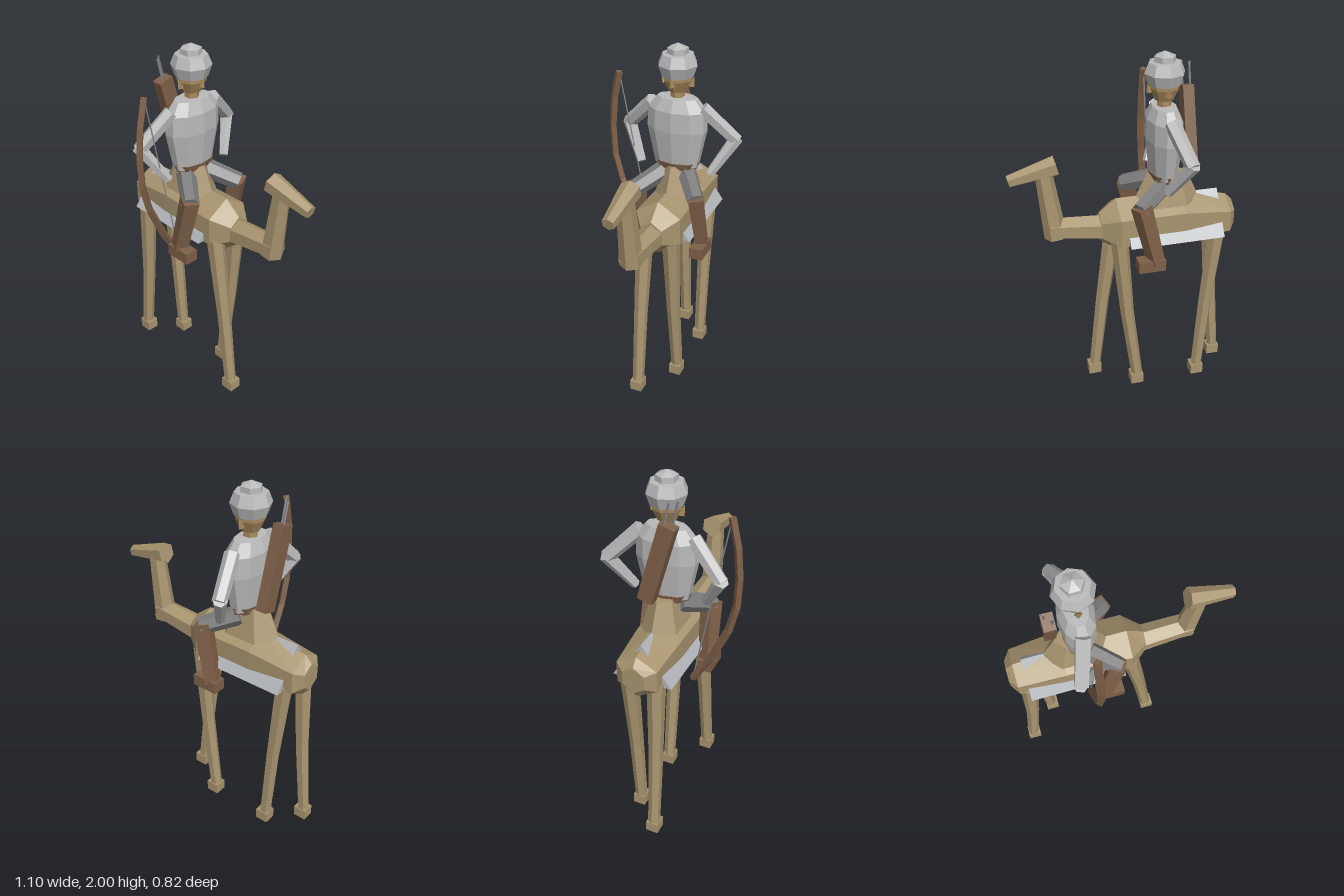
import * as THREE from 'three';

const mat = (name, color) => {
  const m = new THREE.MeshStandardMaterial({ color, flatShading: true });
  m.name = name;
  return m;
};

export function createModel() {
  const tan = mat('camel tan', 0xa8946f);
  const skin = mat('skin', 0xa88a5c);
  const brown = mat('leather brown', 0x7e6048);
  const cloth = mat('light cloth', 0xb9b9b9);
  const trousers = mat('dark trousers', 0x7c7c7c);
  const blanketGrey = mat('blanket grey', 0xb2b6ba);
  const steel = mat('steel', 0x85888b);

  const root = new THREE.Group();
  root.name = 'camelRider';
  const model = new THREE.Group();
  model.name = 'mountAndRider';
  root.add(model);
  // Travel direction is diagonal
  model.position.set(-0.14, 0, -0.085);
  model.rotation.y = THREE.MathUtils.degToRad(55);

  const add = (name, geo, material, x = 0, y = 0, z = 0) => {
    const m = new THREE.Mesh(geo, material);
    m.name = name;
    m.position.set(x, y, z);
    model.add(m);
    return m;
  };
  // Tapered bar between two points
  const bar = (name, a, b, ra, rb, material, sides = 6) => {
    const p = new THREE.Vector3(...a), q = new THREE.Vector3(...b);
    const d = q.clone().sub(p);
    const m = add(name, new THREE.CylinderGeometry(rb, ra, d.length(), sides), material);
    m.position.copy(p).add(q).multiplyScalar(0.5);
    m.quaternion.setFromUnitVectors(new THREE.Vector3(0, 1, 0), d.normalize());
    return m;
  };
  // Closed loft along z through six-sided rings [z, halfWidth, top, bottom]
  const loft = (rings, sides = 6) => {
    const pos = [], idx = [];
    for (const [z, w, top, bottom] of rings)
      for (let i = 0; i < sides; i++) {
        const t = (i / sides) * Math.PI * 2;
        pos.push((Math.sin(t) * w) / 0.866, (top + bottom) / 2 + (Math.cos(t) * (top - bottom)) / 2, z);
      }
    for (let r = 0; r < rings.length - 1; r++)
      for (let i = 0; i < sides; i++) {
        const j = (i + 1) % sides, a = r * sides + i, b = r * sides + j;
        idx.push(a, a + sides, b, b, a + sides, b + sides);
      }
    const last = (rings.length - 1) * sides;
    for (let i = 1; i < sides - 1; i++) {
      idx.push(0, i, i + 1);
      idx.push(last, last + i + 1, last + i);
    }
    const g = new THREE.BufferGeometry();
    g.setAttribute('position', new THREE.Float32BufferAttribute(pos, 3));
    g.setIndex(idx);
    const flat = g.toNonIndexed();
    flat.computeVertexNormals();
    return flat;
  };
  const lathe = (profile, sides) =>
    new THREE.LatheGeometry(profile.map(([r, y]) => new THREE.Vector2(r, y)), sides);

  // Camel body and hump
  add('camelBody', loft([
    [-0.405, 0.06, 1.125, 0.97],
    [-0.365, 0.112, 1.165, 0.925],
    [-0.1, 0.128, 1.215, 0.9],
    [0.26, 0.128, 1.215, 0.9],
    [0.355, 0.06, 1.14, 0.97],
  ]), tan);
  add('hump', new THREE.CylinderGeometry(0.11, 0.19, 0.17, 6), tan, 0, 1.255, -0.02).scale.set(0.6, 1, 1);

  // Tent-shaped blanket showing along the flanks
  const tent = new THREE.Shape([
    new THREE.Vector2(-0.165, 0.98), new THREE.Vector2(0.165, 0.98), new THREE.Vector2(0, 1.205),
  ]);
  add('blanket', new THREE.ExtrudeGeometry(tent, { depth: 0.53, bevelEnabled: false }), blanketGrey, 0, 0, -0.315);

  // Camel neck and head
  bar('lowerNeck', [0, 1.045, 0.29], [0, 1.08, 0.63], 0.075, 0.062, tan);
  bar('upperNeck', [0, 1.03, 0.595], [0, 1.44, 0.645], 0.062, 0.045, tan);
  bar('camelHead', [0, 1.445, 0.575], [0, 1.383, 0.825], 0.058, 0.034, tan);

  // Camel legs: [side, hip z, hoof z]
  const legs = [[-0.08, 0.26, 0.385], [0.075, 0.26, 0.16], [-0.08, -0.31, -0.375], [0.08, -0.3, -0.215]];
  for (const [x, hip, hoof] of legs) {
    const knee = (hip + hoof) / 2 + 0.008;
    bar('upperLeg', [x, 1.0, hip], [x, 0.51, knee], 0.05, 0.039, tan);
    bar('lowerLeg', [x, 0.51, knee], [x, 0.05, hoof], 0.039, 0.034, tan);
    add('hoof', new THREE.BoxGeometry(0.07, 0.062, 0.075), tan, x, 0.031, hoof + 0.005);
  }

  // Rider torso, belt and neck
  add('torso', lathe([[0, 1.33], [0.74, 1.33], [1, 1.54], [0.97, 1.65], [0.66, 1.715], [0, 1.72]], 10), cloth)
    .scale.set(0.17, 1, 0.095);
  add('belt', lathe([[0, 1.31], [0.115, 1.315], [0.132, 1.355], [0, 1.36]], 8), brown).scale.z = 0.62;
  add('riderNeck', new THREE.CylinderGeometry(0.036, 0.04, 0.09, 6), skin, 0, 1.735, 0);

  // Head, nose and ears
  add('riderHead', lathe([[0, 1.75], [0.05, 1.75], [0.078, 1.81], [0.08, 1.87], [0, 1.88]], 8), skin);
  const nose = add('nose', new THREE.ConeGeometry(0.018, 0.045, 4), skin, 0, 1.815, 0.085);
  nose.rotation.x = 0.3;
  for (const s of [-1, 1]) {
    const ear = add('ear', new THREE.ConeGeometry(0.02, 0.055, 4), skin, s * 0.083, 1.81, 0);
    ear.rotation.z = -s * 0.35;
  }

  // Wound cap with a small crown
  add('cap', lathe([[0, 1.83], [0.086, 1.83], [0.107, 1.89], [0.085, 1.945], [0, 1.95]], 8), cloth);
  add('capCrown', lathe([[0, 1.94], [0.058, 1.945], [0.056, 1.975], [0, 2.0]], 6), cloth);

  // Rider limbs, mirrored
  for (const s of [-1, 1]) {
    bar('upperArm', [s * 0.14, 1.67, 0], [s * 0.315, 1.495, -0.06], 0.042, 0.038, cloth);
    bar('forearm', [s * 0.315, 1.51, -0.065], [s * 0.2, 1.315, 0.03], 0.038, 0.026, cloth);
    bar('thigh', [s * 0.06, 1.29, 0.01], [s * 0.18, 1.215, 0.175], 0.055, 0.048, trousers);
    bar('shin', [s * 0.175, 1.235, 0.165], [s * 0.19, 0.9, 0.085], 0.058, 0.05, brown, 4);
    add('boot', new THREE.BoxGeometry(0.075, 0.065, 0.15), brown, s * 0.192, 0.893, 0.115);
  }

  // Quiver slung across the back, with arrows
  const low = new THREE.Vector3(0.05, 1.36, -0.14);
  const high = new THREE.Vector3(-0.075, 1.79, -0.14);
  const dir = high.clone().sub(low);
  const quiver = add('quiver', new THREE.BoxGeometry(0.085, dir.length(), 0.06), brown);
  quiver.position.copy(low).add(high).multiplyScalar(0.5);
  quiver.rotation.z = Math.atan2(-dir.x, dir.y);
  for (const o of [-0.016, 0.016])
    bar('arrow', [-0.05 + o, 1.7, -0.14 - o], [-0.1 + o, 1.91, -0.14 - o], 0.006, 0.006, steel, 4);

  // Bow at the right side
  const bow = [[-0.327, 1.81], [-0.36, 1.66], [-0.375, 1.5], [-0.368, 1.33], [-0.33, 1.18], [-0.24, 0.98], [-0.135, 0.81]];
  for (let i = 0; i < bow.length - 1; i++)
    bar('bowLimb', [...bow[i], 0.02], [...bow[i + 1], 0.02], 0.021, 0.021, brown, 4);
  bar('bowString', [...bow[0], 0.02], [...bow[bow.length - 1], 0.02], 0.004, 0.004, steel, 4);

  return root;
}
